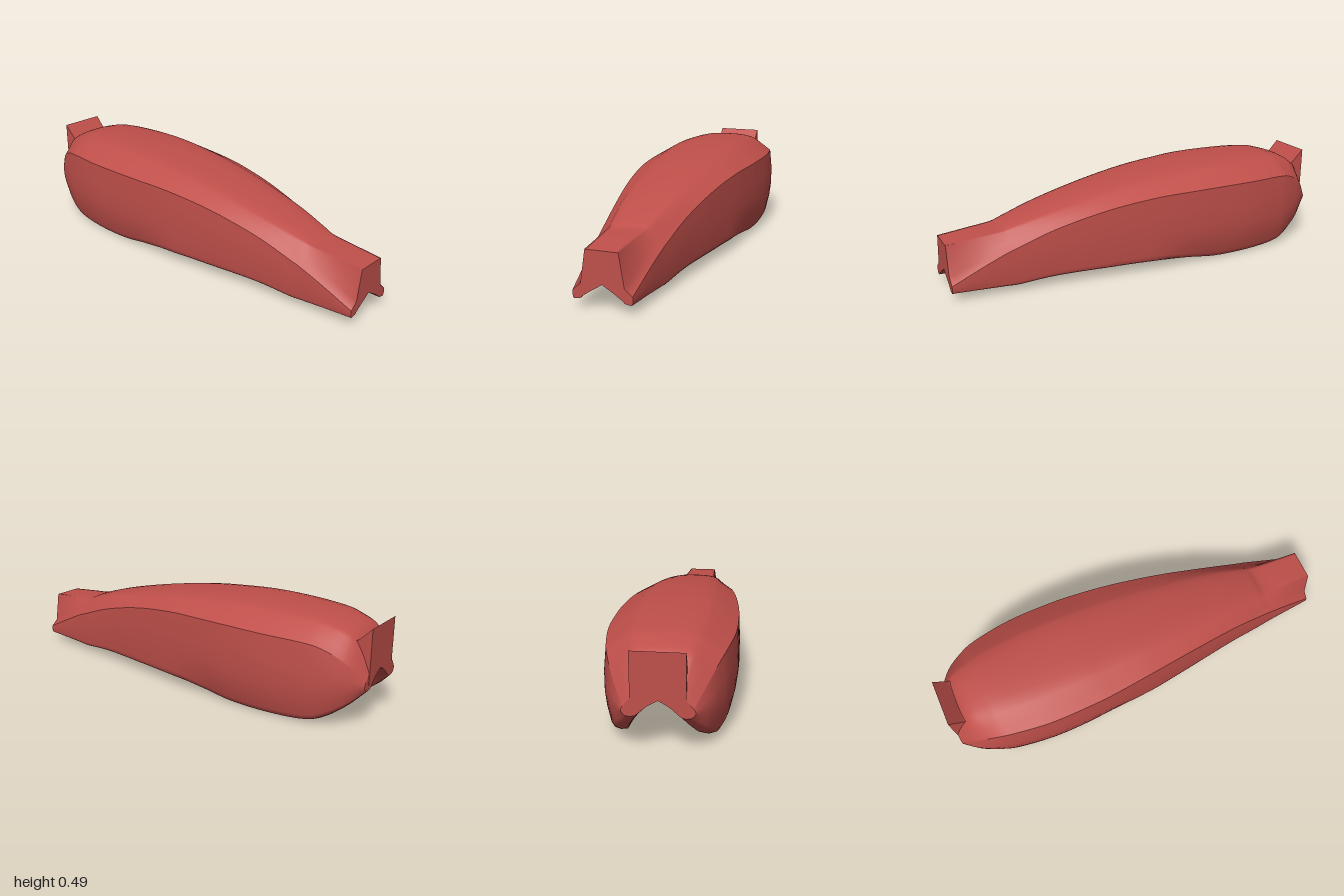
import * as THREE from 'three';

const { lerp, clamp, smoothstep } = THREE.MathUtils;

// z, top y, ridge x, ridge y, seam x, seam y, widest x, bottom y, shoulder sag
const STATIONS = [
  [1, 0.265, 0.075, 0.265, 0.135, 0.085, 0.136, 0.047, 0.06],
  [0.85, 0.28, 0.082, 0.277, 0.148, 0.158, 0.15, 0.043, 0.025],
  [0.74, 0.289, 0.088, 0.286, 0.159, 0.208, 0.161, 0.04, 0.008],
  [0.68, 0.313, 0.1, 0.3, 0.165, 0.23, 0.169, 0.04, 0.004],
  [0.5, 0.365, 0.13, 0.347, 0.187, 0.295, 0.192, 0.055, 0],
  [0.25, 0.42, 0.15, 0.402, 0.225, 0.358, 0.23, 0.058, 0],
  [0, 0.46, 0.168, 0.442, 0.26, 0.393, 0.265, 0.055, 0],
  [-0.2, 0.48, 0.178, 0.46, 0.282, 0.402, 0.286, 0.027, 0],
  [-0.35, 0.489, 0.18, 0.47, 0.29, 0.404, 0.296, 0.006, 0],
  [-0.55, 0.489, 0.178, 0.469, 0.288, 0.402, 0.296, 0.003, 0],
  [-0.73, 0.482, 0.165, 0.46, 0.263, 0.395, 0.273, 0.009, 0],
  [-0.82, 0.465, 0.153, 0.443, 0.24, 0.378, 0.252, 0.035, 0],
  [-0.92, 0.42, 0.135, 0.4, 0.2, 0.322, 0.212, 0.105, 0],
  [-0.998, 0.29, 0.1, 0.28, 0.145, 0.23, 0.152, 0.185, 0],
];

// Catmull-Rom interpolation of every column between the stations
function smoothStations(steps) {
  const out = [], n = STATIONS.length;
  const at = (i) => STATIONS[clamp(i, 0, n - 1)];
  for (let i = 0; i < n - 1; i++) {
    for (let k = 0; k < steps; k++) {
      const t = k / steps;
      out.push(at(i).map((p1, c) => {
        const p0 = at(i - 1)[c], p2 = at(i + 1)[c], p3 = at(i + 2)[c];
        return p1 + 0.5 * t * (p2 - p0 + t * (2 * p0 - 5 * p1 + 4 * p2 - p3 + t * (3 * (p1 - p2) + p3 - p0)));
      }));
    }
  }
  out.push(STATIONS[n - 1]);
  return out;
}

// Completes half a section (last point on the centre line)
const mirror = (half) => [...half, ...half.slice(0, -1).reverse().map(([x, y]) => [-x, y])];

// Upper shell section, from the left seam over the top to the right seam
function upperSection([, topY, rx, ry, sx, sy, , , sag]) {
  return mirror([
    [sx, sy],
    [(sx + rx) / 2 - 0.1 * sag, (sy + ry) / 2 - sag],
    [rx, ry],
    [rx * 0.85, lerp(ry, topY, 0.42)],
    [rx * 0.62, lerp(ry, topY, 0.8)],
    [rx * 0.3, lerp(ry, topY, 0.98)],
    [0, topY],
  ]);
}

// Side of the legs, from the right seam to the outer bottom edge:
// the edge is sharp at the front and rounded at the rear
function sideSection([z, , , , sx, sy, w, botY]) {
  const round = smoothstep(-z, -0.05, 0.3);
  return [
    [-sx, sy],
    [-w, lerp(sy, botY, 0.28)],
    [-w, lerp(sy, botY, 0.52)],
    [-w * lerp(0.995, 0.97, round), lerp(sy, botY, 0.7)],
    [-w * lerp(0.98, 0.905, round), lerp(sy, botY, 0.91)],
    [-w * lerp(0.965, 0.85, round), lerp(sy, botY, 0.975)],
    [-w * lerp(0.94, 0.75, round), botY],
  ];
}

// Underside and tunnel, from the outer bottom edge to the centre line
function tunnelSection([z, , , , , , w, botY]) {
  const round = smoothstep(-z, -0.05, 0.3);
  const tunnelY = lerp(0.12, 0.26, Math.min(1, (1 - z) / 1.4));
  const inner = lerp(0.74, 0.63, round);
  return [
    [-w * inner, botY + 0.004],
    [-w * inner * 0.88, lerp(botY, tunnelY, lerp(0.22, 0.17, round))],
    [-w * inner * 0.5, lerp(botY, tunnelY, lerp(0.58, 0.62, round))],
    [0, tunnelY],
  ];
}

// Lower shell section, from the right seam around both legs to the left seam
const lowerSection = (row) => mirror([...sideSection(row), ...tunnelSection(row)]);

// Skin through sections listed from front to back
function loft(sections, zs, flat = false) {
  const m = sections[0].length, pos = [], idx = [];
  sections.forEach((s, i) => s.forEach(([x, y]) => pos.push(x, y, zs[i])));
  for (let i = 0; i < sections.length - 1; i++) {
    for (let j = 0; j < m - 1; j++) {
      const a = i * m + j, b = a + 1, c = a + m, d = c + 1;
      idx.push(a, c, b, b, c, d);
    }
  }
  let g = new THREE.BufferGeometry();
  g.setAttribute('position', new THREE.Float32BufferAttribute(pos, 3));
  g.setIndex(idx);
  if (flat) g = g.toNonIndexed();
  g.computeVertexNormals();
  return g;
}

// Flat end face for a symmetric section
function endCap(ring, z) {
  const g = new THREE.ShapeGeometry(new THREE.Shape(ring.map(([x, y]) => new THREE.Vector2(x, y))));
  if (z < 0) g.rotateY(Math.PI);
  return g.translate(0, 0, z);
}

export function createModel() {
  const group = new THREE.Group();
  const red = new THREE.MeshStandardMaterial({ color: 0xbf4f4a });
  red.name = 'red paint';
  const add = (name, geometry) => {
    const mesh = new THREE.Mesh(geometry, red);
    mesh.name = name;
    group.add(mesh);
  };

  // Tank shells meeting at a sharp side seam, narrowing to a neck at the front
  const rows = smoothStations(5), zs = rows.map((r) => r[0]);
  const upper = rows.map(upperSection), lower = rows.map(lowerSection);
  add('upperShell', loft(upper, zs));
  add('lowerShell', loft(lower, zs));
  for (const [name, i] of [['neckFace', 0], ['rearEnd', rows.length - 1]]) {
    add(name, endCap([...upper[i], ...lower[i].slice(1, -1)], zs[i]));
  }

  // Upturned mounting block at the wide end
  const blockRing = (w, top) => [[w, top], [-w, top], [-w, 0.21], [0, 0.26], [w, 0.21], [w, top]];
  const block = [blockRing(0.11, 0.37), blockRing(0.112, 0.405), blockRing(0.115, 0.47)];
  add('rearBlock', loft(block, [-0.86, -0.935, -1], true));
  add('rearBlockFace', endCap(block[2].slice(0, -1), -1));

  return group;
}
